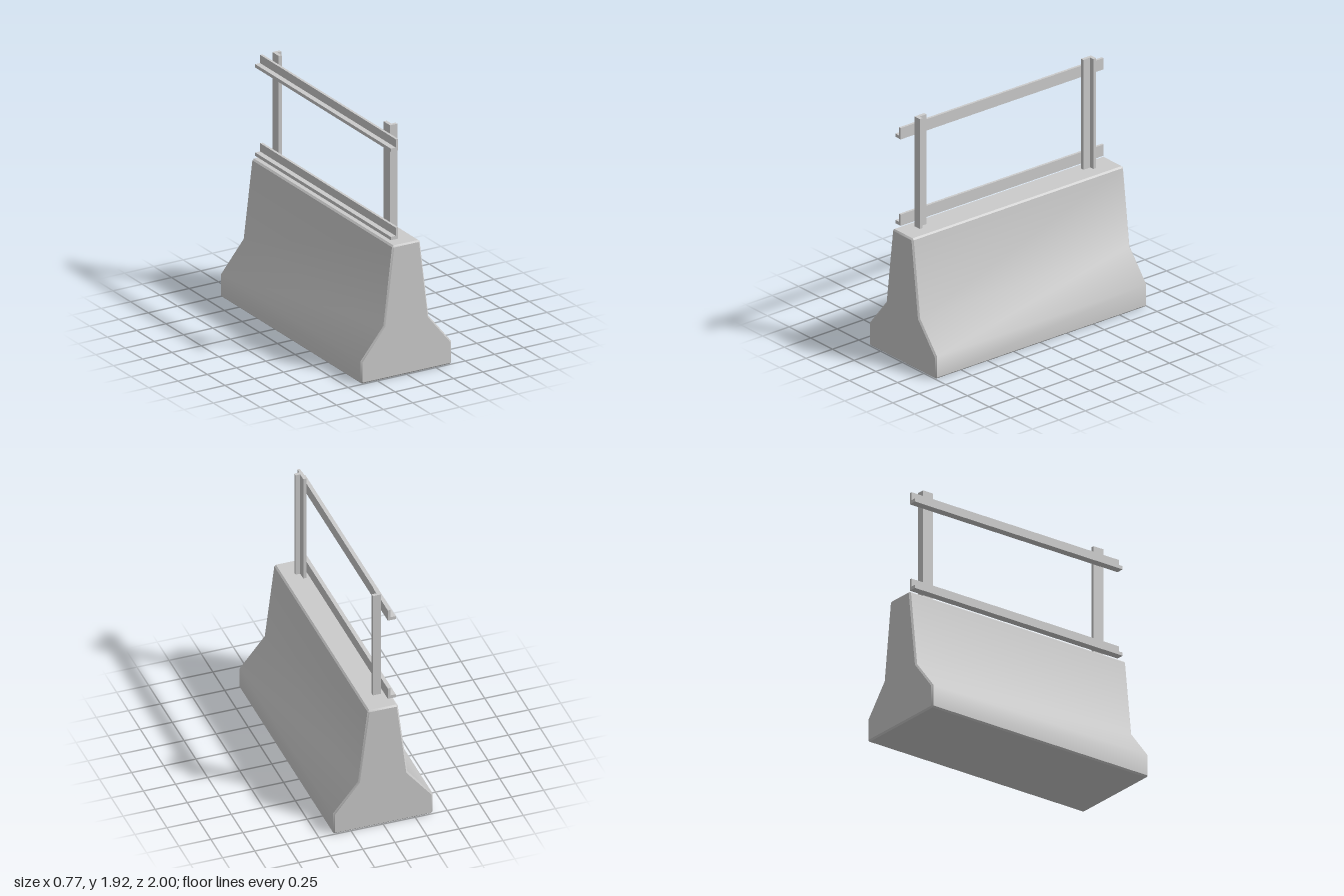
import * as THREE from 'three';
import { toCreasedNormals } from 'three/addons/utils/BufferGeometryUtils.js';

const material = new THREE.MeshStandardMaterial({ color: 0xcccccc });

const polygon = (points) => new THREE.Shape(points.map(([x, y]) => new THREE.Vector2(x, y)));

// L-shaped bar with its corner at (x, y); w and h are signed arm lengths
function angleBar(x, y, w, h, t, length) {
  const tx = t * Math.sign(w), ty = t * Math.sign(h);
  const shape = polygon([
    [x, y], [x + w, y], [x + w, y + ty], [x + tx, y + ty], [x + tx, y + h], [x, y + h],
  ]);
  return new THREE.ExtrudeGeometry(shape, { depth: length, bevelEnabled: false });
}

// Tapered concrete block with chamfered edges
function barrierGeometry() {
  const c = 0.012;
  const half = [
    [0.387 - c, 0], [0.387, c], [0.387, 0.178], [0.192, 0.418], [0.118, 1.034 - c], [0.117 - c, 1.034],
  ];
  const mirrored = half.map(([x, y]) => [-x, y]).reverse();
  const geometry = new THREE.ExtrudeGeometry(polygon([...half, ...mirrored]), {
    depth: 2 - 2 * c, bevelThickness: c, bevelSize: c, bevelOffset: -c, bevelSegments: 1,
  });
  geometry.translate(0, 0, c - 1);
  return toCreasedNormals(geometry, 0.7);
}

export function createModel() {
  const group = new THREE.Group();
  const add = (name, geometry) => {
    const mesh = new THREE.Mesh(geometry, material);
    mesh.name = name;
    group.add(mesh);
    return mesh;
  };

  add('barrier', barrierGeometry());

  // Upright angle posts, flanges at the outer ends
  for (const [name, z, side] of [['frontPost', 0.845, 1], ['backPost', -0.822, -1]]) {
    const post = add(name, angleBar(-0.048, -z, 0.062, side * 0.091, 0.026, 0.89));
    post.rotation.x = -Math.PI / 2;
    post.position.y = 1.03;
  }

  // Horizontal angle rails, ledge facing away from the posts
  for (const [name, y] of [['lowerRail', 1.071], ['upperRail', 1.768]]) {
    const rail = add(name, angleBar(-0.055, y, -0.062, 0.091, 0.026, 1.92));
    rail.position.z = -0.95;
    // Slim the upright arm of the rail
    const position = rail.geometry.attributes.position;
    for (let i = 0; i < position.count; i++) {
      if (Math.abs(position.getX(i) + 0.081) < 0.001) position.setX(i, -0.075);
    }
  }

  return group;
}
